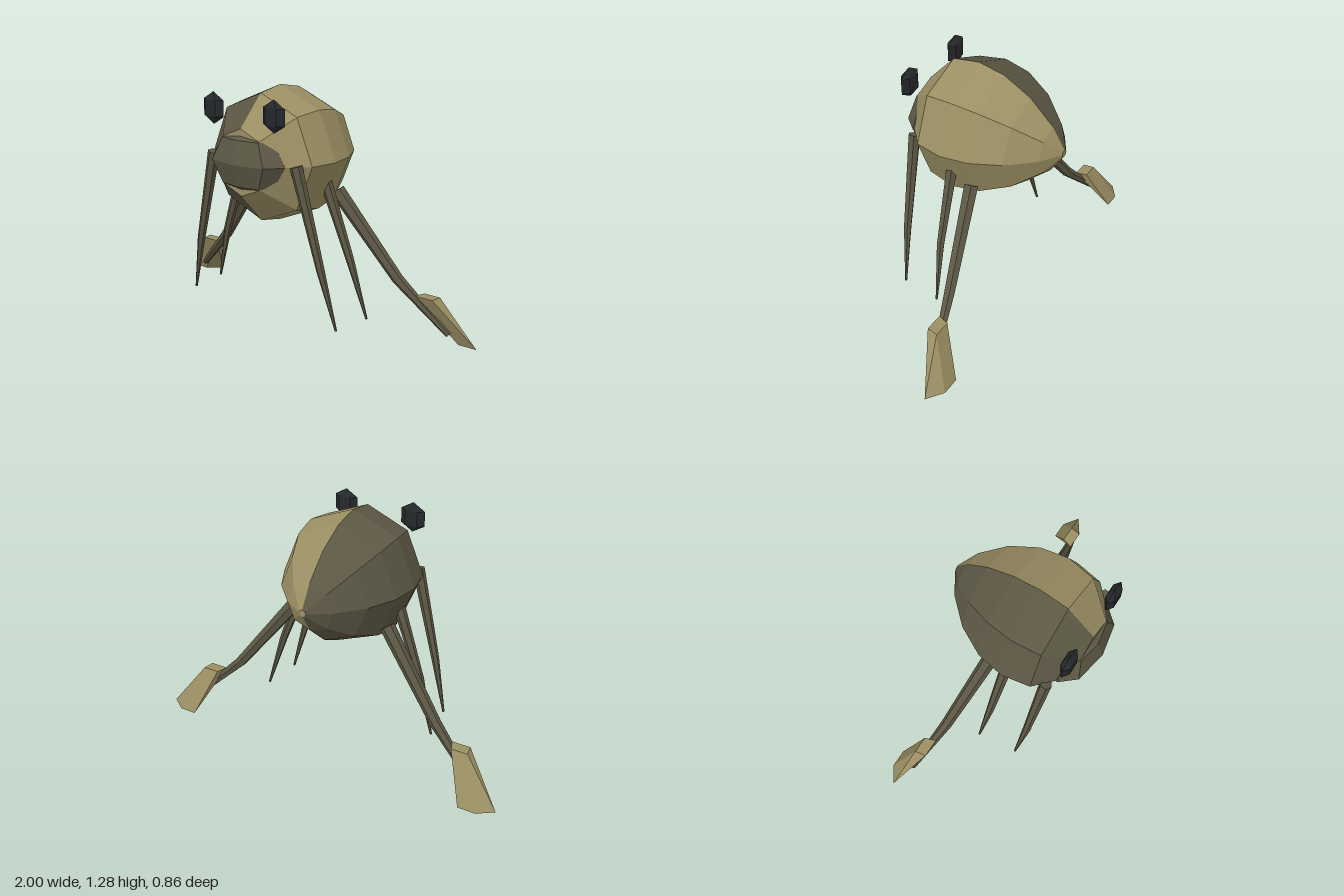
import * as THREE from 'three';
import { ConvexGeometry } from 'three/addons/geometries/ConvexGeometry.js';

const material = (name, color) => {
  const m = new THREE.MeshStandardMaterial({ color, flatShading: true });
  m.name = name;
  return m;
};

export function createModel() {
  const tan = material('tan', 0x9b8f63);
  const brown = material('darkOlive', 0x5c5744);
  const black = material('black', 0x25282a);
  const model = new THREE.Group();

  const add = (name, geometry, mat, x = 0, y = 0, z = 0) => {
    const mesh = new THREE.Mesh(geometry, mat);
    mesh.name = name;
    mesh.position.set(x, y, z);
    model.add(mesh);
    return mesh;
  };

  // Faceted ellipsoid
  const ellipsoid = (rx, ry, rz, around, rows) =>
    new THREE.SphereGeometry(1, around, rows).scale(rx, ry, rz);

  // Tapered limb through points [x, y, z, radius], listed from tip to root
  const limb = (points, side, sides = 6) => {
    const p = points.map(([x, y, z]) => new THREE.Vector3(x * side, y, z));
    const n = p.length - 1;
    const up = new THREE.Vector3(0, 1, 0);
    const turns = p.map((_, i) => {
      const dir = p[Math.min(i + 1, n)].clone().sub(p[Math.max(i - 1, 0)]).normalize();
      return new THREE.Quaternion().setFromUnitVectors(up, dir);
    });
    const geometry = new THREE.CylinderGeometry(1, 1, 1, sides, n);
    const pos = geometry.attributes.position;
    const v = new THREE.Vector3();
    for (let i = 0; i < pos.count; i++) {
      const row = Math.round((pos.getY(i) + 0.5) * n);
      v.set(pos.getX(i), 0, pos.getZ(i)).multiplyScalar(points[row][3]);
      v.applyQuaternion(turns[row]).add(p[row]);
      pos.setXYZ(i, v.x, v.y, v.z);
    }
    geometry.computeVertexNormals();
    return geometry;
  };

  // Egg-shaped eight-sided body, one half per colour
  const bodyY = 0.93;
  const profile = [
    [0.02, -0.43], [0.13, -0.36], [0.25, -0.23], [0.328, -0.08],
    [0.355, 0.07], [0.328, 0.22], [0.17, 0.37],
  ].map(([r, z]) => new THREE.Vector2(r, z));
  const half = (start) => new THREE.LatheGeometry(profile, 4, start, Math.PI).rotateX(Math.PI / 2);
  add('bodyLeftHalf', half(0), tan, 0, bodyY);
  add('bodyRightHalf', half(Math.PI), brown, 0, bodyY);
  add('bodyFrontCap', new THREE.CircleGeometry(0.17, 8), tan, 0, bodyY, 0.37);
  add('tailCap', new THREE.CircleGeometry(0.02, 8).rotateY(Math.PI), tan, 0, bodyY, -0.43);

  // Snout
  add('snout', ellipsoid(0.238, 0.165, 0.115, 8, 4), brown, 0, bodyY, 0.318);

  for (const side of [1, -1]) {
    const label = side > 0 ? 'Left' : 'Right';

    // Floating eyes
    add('eye' + label, ellipsoid(0.078, 0.082, 0.034, 6, 3), black, 0.198 * side, 1.18, 0.35);

    // Thin front and middle legs
    add('frontLeg' + label, limb([
      [0.488, 0.125, 0.225, 0.006], [0.41, 0.43, 0.253, 0.021], [0.275, 0.935, 0.278, 0.032],
    ], side), brown);
    add('middleLeg' + label, limb([
      [0.515, 0.125, 0.003, 0.006], [0.425, 0.43, 0.03, 0.021], [0.27, 0.845, 0.05, 0.032],
    ], side), brown);

    // Long hind leg
    add('hindLeg' + label, limb([
      [0.865, 0.06, -0.22, 0.015], [0.6, 0.32, -0.145, 0.03], [0.27, 0.75, -0.06, 0.04],
    ], side), brown);

    // Flared slanted foot
    const foot = [
      [0.7, 0.25, -0.155], [0.8, 0.25, -0.155], [0.81, 0.25, -0.215], [0.72, 0.25, -0.215],
      [0.9, 0, -0.265], [1, 0, -0.27], [0.915, 0, -0.33], [0.82, 0, -0.33],
    ].map(([x, y, z]) => new THREE.Vector3(x * side, y, z));
    add('foot' + label, new ConvexGeometry(foot), tan);
  }
  return model;
}
